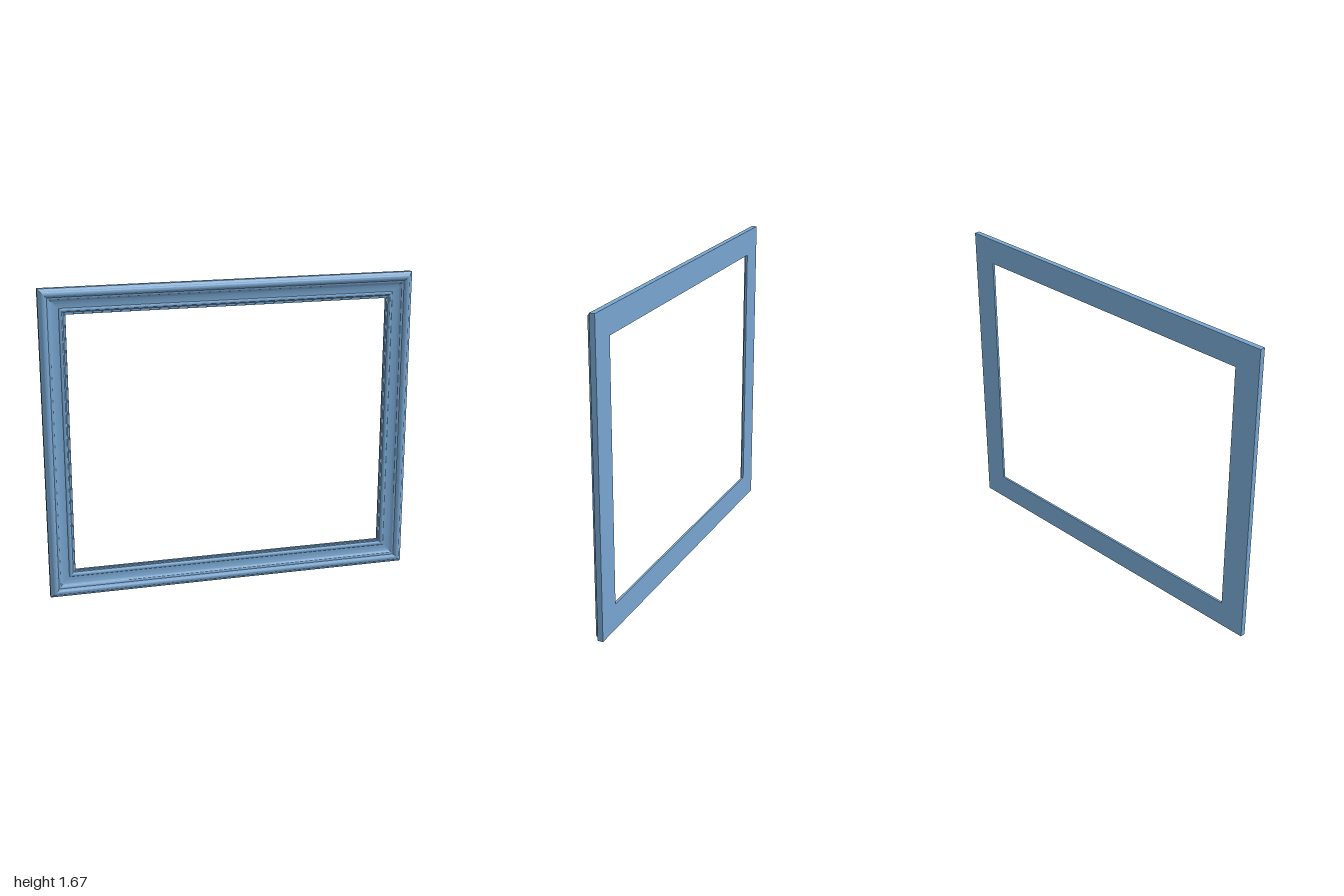
import * as THREE from 'three';
import { toCreasedNormals } from 'three/addons/utils/BufferGeometryUtils.js';

const W = 1, H = 1.67, BACK = -0.025;

// Moulding cross-section: [inset from the outer edge, z], outer back to inner back
function mouldingProfile() {
  const p = [[0, BACK], [0, 0.004], [0.012, 0.012]];
  // rounded outer crest
  for (let i = 0; i <= 8; i++) {
    const a = Math.PI * (1 - i / 8);
    p.push([0.0285 + 0.0155 * Math.cos(a), 0.013 + 0.012 * Math.sin(a)]);
  }
  // small step, then a hollow sweeping down towards the opening
  p.push([0.046, 0.009], [0.054, 0.009]);
  for (let i = 0; i <= 8; i++) {
    const a = (Math.PI / 2) * (i / 8);
    p.push([0.102 - 0.044 * Math.cos(a), 0.007 - 0.013 * Math.sin(a)]);
  }
  // inner bead
  for (let i = 0; i <= 6; i++) {
    const a = Math.PI * (1 - i / 6);
    p.push([0.115 + 0.01 * Math.cos(a), -0.006 + 0.007 * Math.sin(a)]);
  }
  // stepped lip at the opening
  p.push([0.127, -0.01], [0.134, -0.01], [0.135, -0.013], [0.14, -0.013], [0.14, BACK]);
  return p;
}

// One mitred rail between two neighbouring corners
function railGeometry(profile, from, to) {
  const at = ([sx, sy], [d, z]) => [sx * (W - d), H / 2 + sy * (H / 2 - d), z];
  const pos = [];
  profile.forEach((p, i) => {
    const q = profile[(i + 1) % profile.length];
    const a = at(from, p), b = at(to, p), c = at(to, q), d = at(from, q);
    pos.push(...a, ...b, ...c, ...a, ...c, ...d);
  });
  const g = new THREE.BufferGeometry();
  g.setAttribute('position', new THREE.Float32BufferAttribute(pos, 3));
  return toCreasedNormals(g, 0.6);
}

export function createModel() {
  const group = new THREE.Group();
  group.name = 'pictureFrame';
  const paint = new THREE.MeshStandardMaterial({ color: 0x77a5cf });
  paint.name = 'blue paint';
  const profile = mouldingProfile();
  const corners = [[-1, -1], [1, -1], [1, 1], [-1, 1]];
  ['bottomRail', 'leftRail', 'topRail', 'rightRail'].forEach((name, i) => {
    const rail = new THREE.Mesh(railGeometry(profile, corners[i], corners[(i + 1) % 4]), paint);
    rail.name = name;
    group.add(rail);
  });
  return group;
}
